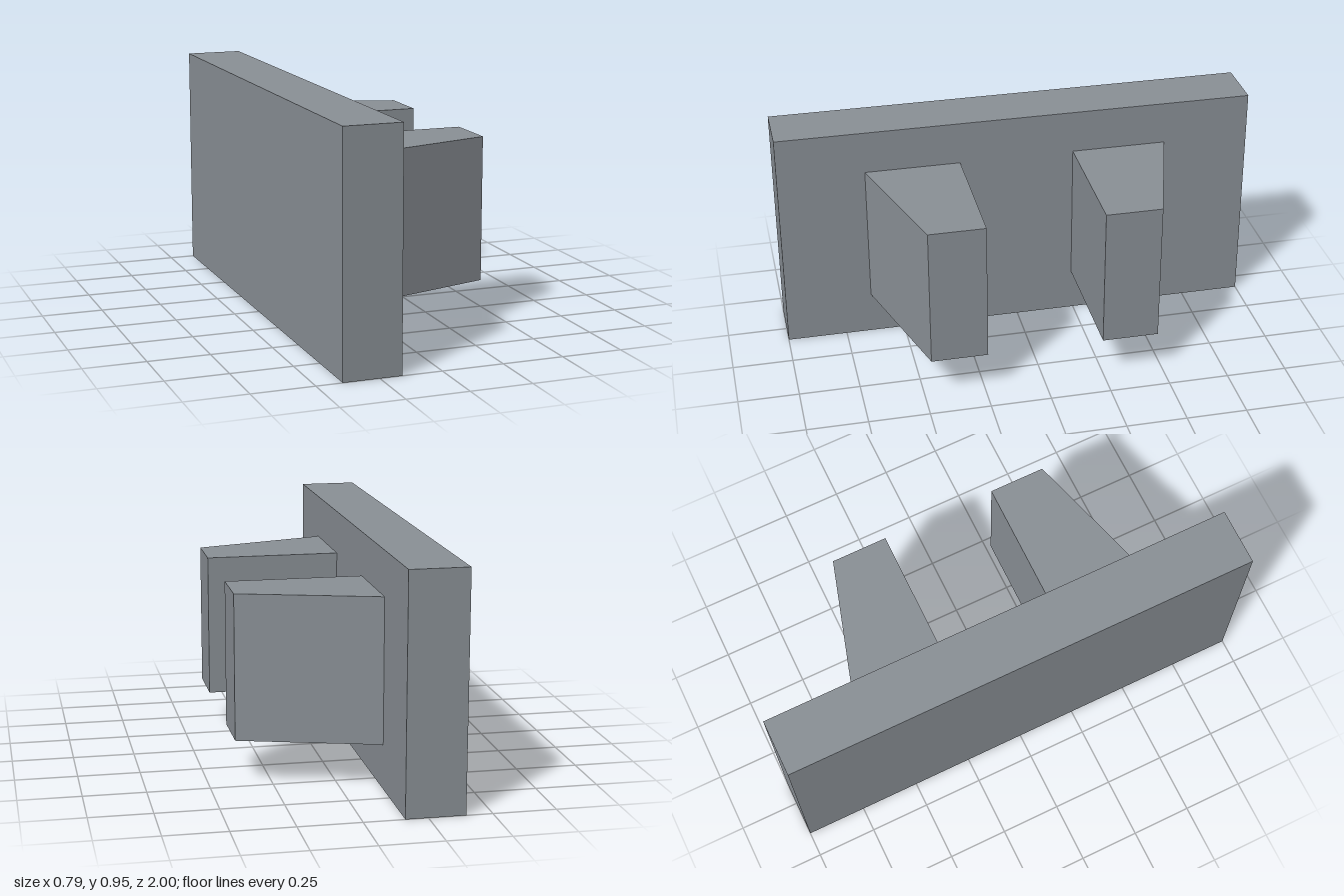
import * as THREE from 'three';

export function createModel() {
  const model = new THREE.Group();
  const greyMetal = new THREE.MeshStandardMaterial({ color: 0x8b9197 });
  greyMetal.name = 'greyMetal';

  // Upright back plate
  const plate = new THREE.Mesh(new THREE.BoxGeometry(0.235, 0.95, 2), greyMetal);
  plate.name = 'backPlate';
  plate.position.set(-0.2785, 0.475, 0);
  model.add(plate);

  // Two mirrored lugs: flat inner face, tapered outer face
  for (const side of [1, -1]) {
    const outline = new THREE.Shape(
      [[-0.161, 0.24], [0.396, 0.24], [0.396, 0.473], [-0.161, 0.638]]
        .map(([x, z]) => new THREE.Vector2(x, -z * side))
    );
    const geometry = new THREE.ExtrudeGeometry(outline, { depth: 0.59, bevelEnabled: false });
    geometry.rotateX(-Math.PI / 2);
    const lug = new THREE.Mesh(geometry, greyMetal);
    lug.name = side > 0 ? 'frontLug' : 'rearLug';
    lug.position.y = 0.18;
    model.add(lug);
  }

  return model;
}
